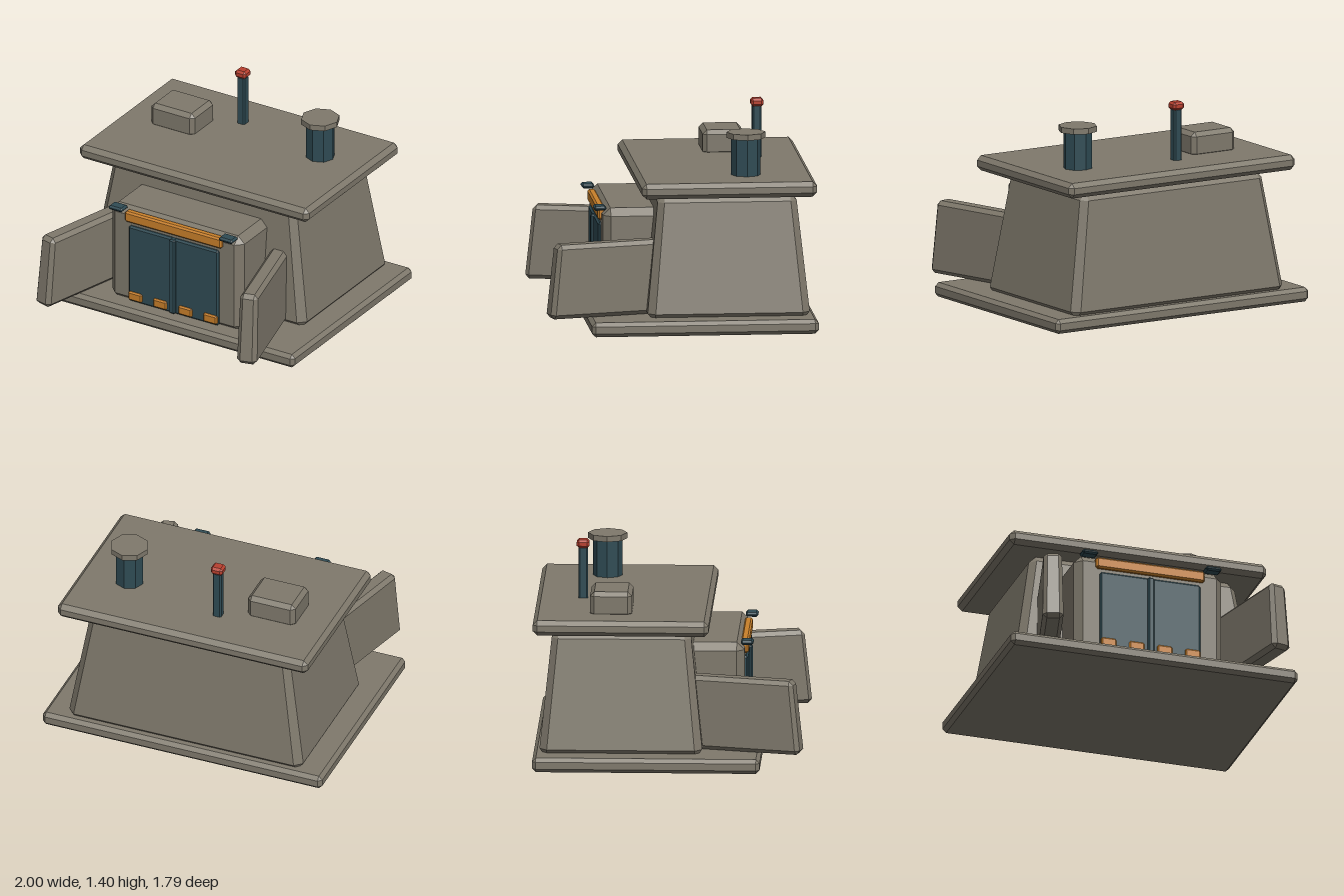
import * as THREE from 'three';
import { ConvexGeometry } from 'three/addons/geometries/ConvexGeometry.js';

const mat = (name, color) => {
  const m = new THREE.MeshStandardMaterial({ color, flatShading: true });
  m.name = name;
  return m;
};

// Chamfered box standing on y = 0; taper scales the top relative to the bottom
function bevelBox(w, h, d, b, taper = 1) {
  const pts = [];
  const add = (x, y, z) => {
    const s = 1 + (taper - 1) * (y / h);
    pts.push(new THREE.Vector3(x * s, y, z * s));
  };
  for (const sx of [-1, 1]) for (const top of [0, 1]) for (const sz of [-1, 1]) {
    const x = sx * w / 2, y = top * h, z = sz * d / 2;
    const xi = x - sx * b, yi = top ? h - b : b, zi = z - sz * b;
    add(x, yi, zi);
    add(xi, y, zi);
    add(xi, yi, z);
  }
  return new ConvexGeometry(pts);
}

export function createModel() {
  const stone = mat('stone', 0x7f796c);
  const steel = mat('steel', 0x2f4b54);
  const orange = mat('orange', 0xc9802a);
  const red = mat('red', 0xb8402f);

  const model = new THREE.Group();
  model.name = 'bunker';

  const put = (name, geometry, material, x, y, z, rotY = 0) => {
    const mesh = new THREE.Mesh(geometry, material);
    mesh.name = name;
    mesh.position.set(x, y, z);
    mesh.rotation.y = rotY;
    model.add(mesh);
    return mesh;
  };
  // Chamfered box given by its minimum and maximum corners
  const block = (name, material, [x0, y0, z0], [x1, y1, z1], b) =>
    put(name, bevelBox(x1 - x0, y1 - y0, z1 - z0, b), material, (x0 + x1) / 2, y0, (z0 + z1) / 2);

  // Main masses
  block('foundation', stone, [-1, 0, -0.9], [1, 0.097, 0.61], 0.025);
  put('body', bevelBox(1.69, 0.83, 1.09, 0.05, 0.84), stone, 0, 0.07, -0.318);
  block('roofSlab', stone, [-0.895, 0.903, -0.9], [0.895, 1.005, 0.267], 0.03);

  // Entrance
  block('entranceBlock', stone, [-0.515, 0.07, 0], [0.515, 0.78, 0.49], 0.05);
  for (const s of [-1, 1]) {
    block('doorPanel', steel, [s < 0 ? -0.35 : 0, 0.1, 0.46], [s < 0 ? 0 : 0.35, 0.66, 0.51], 0.012);
    block('lamp', steel, [s * 0.43 - 0.055, 0.763, 0.467], [s * 0.43 + 0.055, 0.793, 0.55], 0.012);
    put('wingWall', bevelBox(0.14, 0.495, 0.84, 0.028, 0.87), stone,
      s * 0.695, 0.1, 0.478, s * 0.255);
  }
  block('doorSeam', steel, [-0.023, 0.105, 0.48], [0.023, 0.658, 0.53], 0.01);
  block('lintel', orange, [-0.378, 0.685, 0.46], [0.378, 0.763, 0.515], 0.012);
  for (const x of [-0.293, -0.098, 0.098, 0.293]) {
    block('warningBlock', orange, [x - 0.053, 0.113, 0.48], [x + 0.053, 0.177, 0.524], 0.01);
  }

  // Roof fittings
  block('roofBox', stone, [-0.657, 0.98, -0.528], [-0.317, 1.152, -0.25], 0.028);
  block('mast', steel, [-0.17, 0.99, -0.622], [-0.11, 1.355, -0.56], 0.01);
  block('beacon', red, [-0.183, 1.345, -0.634], [-0.098, 1.4, -0.55], 0.015);
  put('ventPipe', new THREE.CylinderGeometry(0.098, 0.098, 0.26, 8), steel, 0.55, 1.125, -0.455);
  put('ventCap', new THREE.CylinderGeometry(0.13, 0.13, 0.038, 8), stone, 0.55, 1.273, -0.455);

  return model;
}
